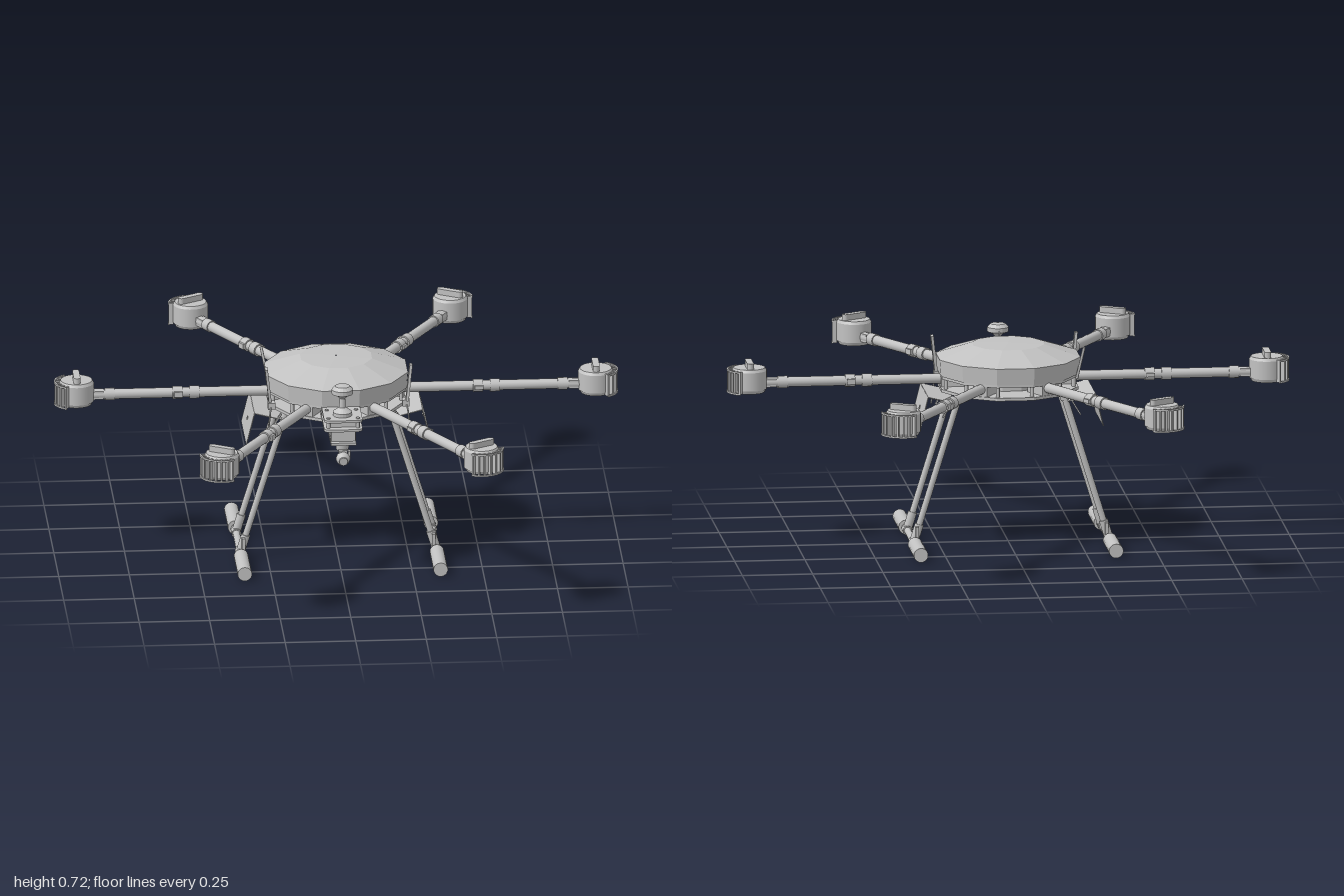
import * as THREE from 'three';

const grey = new THREE.MeshStandardMaterial({ color: 0xc2c2c2 });
grey.name = 'airframe grey';

const V = (x, y, z) => new THREE.Vector3(x, y, z);

// Faceted copy of a geometry
function flat(geo) {
  const g = geo.index ? geo.toNonIndexed() : geo;
  g.computeVertexNormals();
  return g;
}
function add(parent, name, geo, x = 0, y = 0, z = 0) {
  const m = new THREE.Mesh(geo, grey);
  m.name = name;
  m.position.set(x, y, z);
  parent.add(m);
  return m;
}
const box = (p, name, w, h, d, x, y, z) => add(p, name, new THREE.BoxGeometry(w, h, d), x, y, z);
const cyl = (p, name, rTop, rBot, h, x, y, z, n = 20) =>
  add(p, name, new THREE.CylinderGeometry(rTop, rBot, h, n), x, y, z);

// Round rod between two points
function rod(p, name, a, b, r, n = 12) {
  const m = cyl(p, name, r, r, a.distanceTo(b), 0, 0, 0, n);
  m.position.copy(a).lerp(b, 0.5);
  m.quaternion.setFromUnitVectors(V(0, 1, 0), b.clone().sub(a).normalize());
  return m;
}
// Flat sheet lying along z whose section runs between two points in the xy plane
function sheet(p, name, a, b, thick, depth, z = 0) {
  const m = box(p, name, Math.hypot(b[0] - a[0], b[1] - a[1]), thick, depth,
    (a[0] + b[0]) / 2, (a[1] + b[1]) / 2, z);
  m.rotation.z = Math.atan2(b[1] - a[1], b[0] - a[0]);
  return m;
}
function cable(p, name, pts, r = 0.004) {
  add(p, name, new THREE.TubeGeometry(new THREE.CatmullRomCurve3(pts), 20, r, 6));
}
// Ring segment centred on +x
function arcBand(r0, r1, half, h) {
  const s = new THREE.Shape();
  s.absarc(0, 0, r1, -half, half, false);
  s.absarc(0, 0, r0, half, -half, true);
  const g = new THREE.ExtrudeGeometry(s, { depth: h, bevelEnabled: false, curveSegments: 14 });
  return g.rotateX(-Math.PI / 2);
}
// Twelve-sided slab, flats facing the axes
function twelve(p, name, r, y0, y1) {
  const g = new THREE.CylinderGeometry(r, r, y1 - y0, 12).rotateY(Math.PI / 12);
  return add(p, name, flat(g), 0, (y0 + y1) / 2, 0);
}

function body() {
  const g = new THREE.Group();
  g.name = 'body';
  const profile = [[0.001, 0.612], [0.254, 0.612], [0.259, 0.672], [0.13, 0.714], [0.001, 0.717]];
  const cover = new THREE.LatheGeometry(profile.map(([r, y]) => new THREE.Vector2(r, y)), 12);
  add(g, 'topCover', flat(cover.rotateY(Math.PI / 12)));
  twelve(g, 'upperPlate', 0.25, 0.602, 0.612);
  twelve(g, 'lowerPlate', 0.252, 0.555, 0.566);
  twelve(g, 'core', 0.13, 0.566, 0.602);
  // Spacers between the plates and screws below
  for (let i = 0; i < 12; i++) {
    const a = (i + 0.5) * Math.PI / 6;
    cyl(g, 'spacer', 0.007, 0.007, 0.04, 0.235 * Math.cos(a), 0.585, 0.235 * Math.sin(a), 8);
    const r = i % 2 ? 0.2 : 0.13;
    cyl(g, 'screw', 0.007, 0.007, 0.008, r * Math.cos(a), 0.552, r * Math.sin(a), 8);
  }
  return g;
}

function motor() {
  const g = new THREE.Group();
  g.name = 'motor';
  cyl(g, 'motorBase', 0.06, 0.054, 0.012, 0, 0.566, 0, 28);
  cyl(g, 'motorCan', 0.062, 0.062, 0.066, 0, 0.605, 0, 28);
  cyl(g, 'motorCap', 0.056, 0.062, 0.01, 0, 0.643, 0, 28);
  // Propeller clamp across the arm, with rounded ends
  box(g, 'propellerClamp', 0.024, 0.022, 0.076, 0, 0.658, 0);
  for (const z of [-0.038, 0.038]) cyl(g, 'clampEnd', 0.012, 0.012, 0.022, 0, 0.658, z, 12);
  // Slatted guard on the outer side
  const half = 1.05;
  add(g, 'guardTop', arcBand(0.074, 0.08, half, 0.006), 0, 0.638, 0);
  add(g, 'guardBottom', arcBand(0.074, 0.08, half, 0.006), 0, 0.56, 0);
  for (let i = 0; i < 8; i++) {
    const a = -half + 0.05 + (i / 7) * (2 * half - 0.1);
    const m = box(g, 'guardSlat', 0.018, 0.08, 0.006, 0.069 * Math.cos(a), 0.602, -0.069 * Math.sin(a));
    m.rotation.y = a;
  }
  g.position.x = 0.92;
  return g;
}

function arm(angle) {
  const g = new THREE.Group();
  g.name = 'arm';
  const y = 0.592;
  rod(g, 'armTube', V(0.12, y, 0), V(0.87, y, 0), 0.018, 16);
  box(g, 'armRoot', 0.09, 0.036, 0.05, 0.195, 0.584, 0);
  // Folding joint and motor collar
  for (const [a, b, r] of [[0.485, 0.52, 0.023], [0.545, 0.58, 0.023], [0.785, 0.82, 0.022]])
    rod(g, 'collar', V(a, y, 0), V(b, y, 0), r, 12);
  box(g, 'jointLatch', 0.03, 0.014, 0.012, 0.505, y, 0.022);
  box(g, 'jointHinge', 0.03, 0.02, 0.012, 0.56, y, -0.022);
  box(g, 'motorBracket', 0.05, 0.03, 0.032, 0.85, y, 0);
  g.add(motor());
  g.rotation.y = angle;
  return g;
}

function landingSide(s) {
  const g = new THREE.Group();
  g.name = s > 0 ? 'leftLandingGear' : 'rightLandingGear';
  const foot = [0.347, 0.026], top = [0.182, 0.56];
  const at = (t, z) => V(s * (foot[0] + t * (top[0] - foot[0])), foot[1] + t * (top[1] - foot[1]), z);
  rod(g, 'skid', V(s * foot[0], foot[1], -0.2), V(s * foot[0], foot[1], 0.2), 0.013);
  for (const z of [-1, 1]) {
    rod(g, 'leg', at(0, z * 0.108), at(1, z * 0.108), 0.0115);
    rod(g, 'legSocket', at(0, z * 0.108), at(0.12, z * 0.108), 0.016);
    rod(g, 'skidSocket', V(s * foot[0], foot[1], z * 0.085), V(s * foot[0], foot[1], z * 0.135), 0.017);
    box(g, 'socketFin', 0.012, 0.05, 0.012, s * 0.337, 0.06, z * 0.13);
    rod(g, 'legClamp', at(0.94, z * 0.108), at(1, z * 0.108), 0.016);
    rod(g, 'footPad', V(s * foot[0], foot[1], z * 0.15), V(s * foot[0], foot[1], z * 0.345), 0.0255, 18);
    // Bracket holding the side panel
    sheet(g, 'panelStrut', [s * 0.245, 0.475], [s * 0.203, 0.545], 0.005, 0.012, z * 0.118);
  }
  // Bent side panel
  sheet(g, 'sidePanel', [s * 0.326, 0.433], [s * 0.297, 0.55], 0.003, 0.255);
  sheet(g, 'panelFlange', [s * 0.298, 0.55], [s * 0.2, 0.525], 0.003, 0.255);
  rod(g, 'panelButton', V(s * 0.306, 0.488, 0), V(s * 0.316, 0.491, 0), 0.007);
  // Flat antenna with its cable
  const aerial = sheet(g, 'antenna', [s * 0.242, 0.59], [s * 0.257, 0.722], 0.01, 0.028, 0.13);
  aerial.rotation.order = 'ZXY';
  aerial.rotation.y = 0.1 * s;
  box(g, 'antennaBase', 0.026, 0.024, 0.03, s * 0.238, 0.582, 0.13);
  cable(g, 'antennaCable', [V(s * 0.24, 0.58, 0.14), V(s * 0.245, 0.555, 0.16),
    V(s * 0.25, 0.51, 0.157), V(s * 0.26, 0.475, 0.128)], 0.003);
  return g;
}

function cameraMount() {
  const g = new THREE.Group();
  g.name = 'cameraMount';
  // Rounded tongue plates
  const s = new THREE.Shape();
  s.moveTo(-0.068, -0.18);
  s.lineTo(0.068, -0.18);
  s.lineTo(0.068, -0.365);
  s.quadraticCurveTo(0.068, -0.388, 0.045, -0.388);
  s.lineTo(-0.045, -0.388);
  s.quadraticCurveTo(-0.068, -0.388, -0.068, -0.365);
  const plate = new THREE.ExtrudeGeometry(s, { depth: 0.009, bevelEnabled: false }).rotateX(-Math.PI / 2);
  add(g, 'upperTongue', plate, 0, 0.6, 0);
  add(g, 'lowerTongue', plate, 0, 0.566, 0);
  for (const x of [-0.052, 0.052])
    for (const z of [0.275, 0.365]) {
      cyl(g, 'post', 0.007, 0.007, 0.05, x, 0.588, z, 8);
      cyl(g, 'damper', 0.009, 0.009, 0.046, x * 0.7, 0.543, 0.325 + (z - 0.32) * 0.8, 10);
    }
  box(g, 'spacerBlock', 0.09, 0.028, 0.09, 0, 0.587, 0.315);
  // Satellite receiver on a mast
  const mast = [[0.001, 0.605], [0.034, 0.605], [0.034, 0.622], [0.012, 0.638], [0.01, 0.672], [0.02, 0.682],
    [0.038, 0.69], [0.038, 0.706], [0.026, 0.718], [0.001, 0.721]].map(([r, y]) => new THREE.Vector2(r, y));
  add(g, 'receiverMast', flat(new THREE.LatheGeometry(mast, 20)), 0, 0, 0.325);
  cable(g, 'receiverCable', [V(0, 0.695, 0.295), V(0, 0.69, 0.282), V(0, 0.65, 0.277), V(0, 0.608, 0.295)], 0.003);
  // Gimbal and camera
  box(g, 'gimbalTop', 0.085, 0.046, 0.09, 0, 0.544, 0.325);
  box(g, 'gimbalPlate', 0.09, 0.01, 0.125, 0, 0.52, 0.325);
  cyl(g, 'yawMotor', 0.026, 0.022, 0.034, 0, 0.498, 0.325);
  box(g, 'gimbalYoke', 0.03, 0.012, 0.04, 0, 0.48, 0.338);
  box(g, 'gimbalArm', 0.008, 0.03, 0.02, 0.022, 0.468, 0.35);
  add(g, 'camera', new THREE.SphereGeometry(0.025, 16, 12), 0, 0.456, 0.357);
  rod(g, 'lens', V(0, 0.455, 0.365), V(0, 0.453, 0.384), 0.015, 16);
  return g;
}

export function createModel() {
  const model = new THREE.Group();
  model.name = 'sixRotorDrone';
  model.add(body(), cameraMount(), landingSide(1), landingSide(-1));
  for (let i = 0; i < 6; i++) model.add(arm(i * Math.PI / 3));
  // Thin whip antenna at the rear
  rod(model, 'whipAntenna', V(-0.235, 0.6, -0.09), V(-0.258, 0.715, -0.115), 0.005, 8);
  return model;
}
